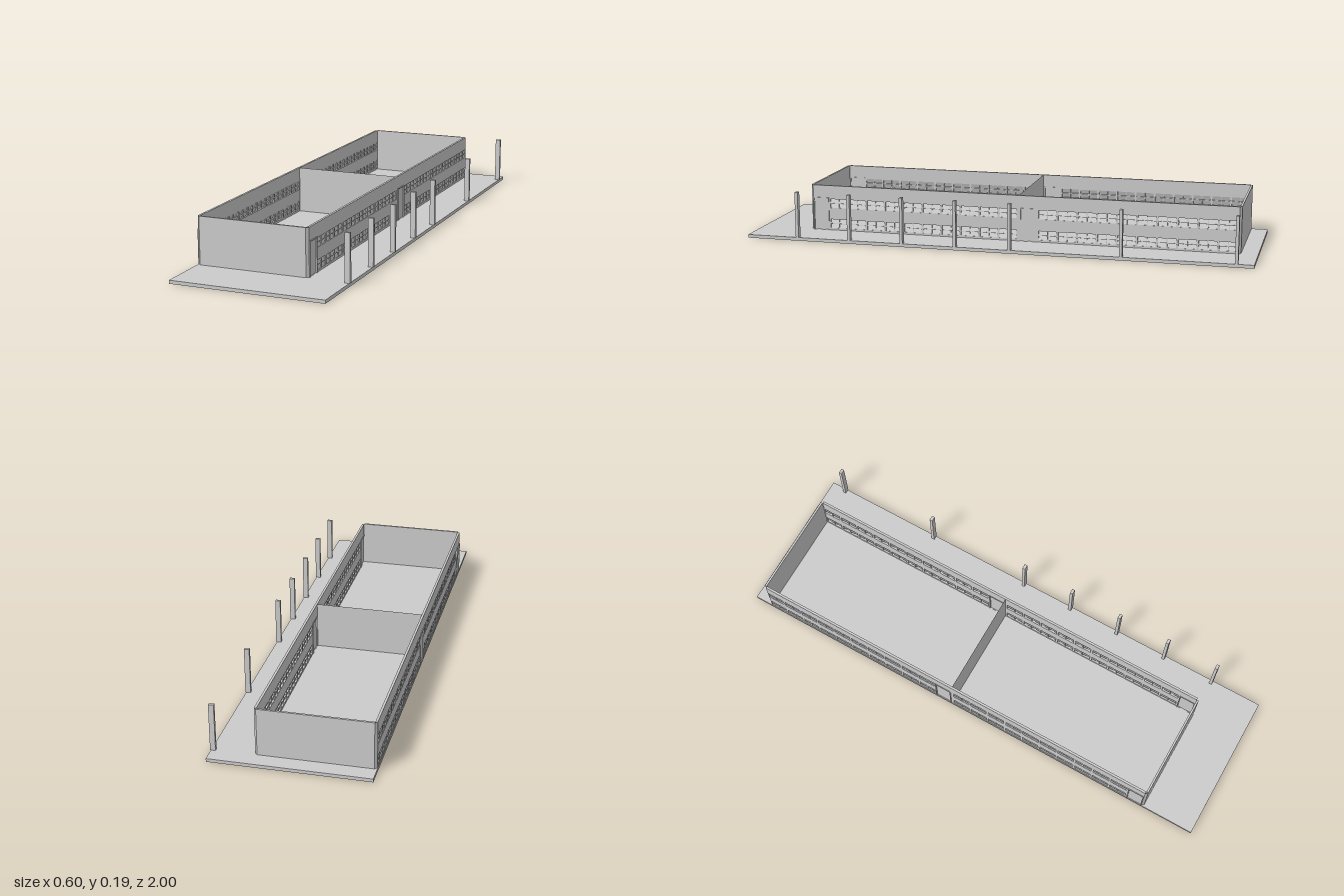
import * as THREE from 'three';

const grey = new THREE.MeshStandardMaterial({ color: 0xcccccc, flatShading: true });
const thin = new THREE.MeshStandardMaterial({ color: 0xcccccc, flatShading: true, side: THREE.DoubleSide });

const FLOOR = 0.013, TOP = 0.195, DOOR_TOP = 0.145;
const XC = -0.08;              // building centre line
const HALF = 0.219;            // half width to the outer wall face
const THICK = 0.009;
const FRONT = 0.79, BACK = -0.935, CHAMFER = 0.009;
const PITCH = 0.078, COUNT = 10;
const BAYS = [{ start: 0.713, door: [0.715, 0.781] }, { start: -0.147, door: [-0.145, -0.075] }];
const ROWS = [[0.021, 0.057], [0.104, 0.140]];

function box(parent, name, x0, x1, y0, y1, z0, z1) {
  const m = new THREE.Mesh(new THREE.BoxGeometry(x1 - x0, y1 - y0, z1 - z0), grey);
  m.position.set((x0 + x1) / 2, (y0 + y1) / 2, (z0 + z1) / 2);
  m.name = name;
  parent.add(m);
  return m;
}

function rectPoints(a0, a1, b0, b1) {
  return [[a0, b0], [a1, b0], [a1, b1], [a0, b1]].map(p => new THREE.Vector2(...p));
}

// Long wall in local space: outer face at x = HALF
function sideWall() {
  const g = new THREE.Group();
  const z0 = BACK + CHAMFER, z1 = FRONT - CHAMFER;
  const windows = [];
  for (const bay of BAYS)
    for (let i = 0; i < COUNT; i++)
      for (const [y0, y1] of ROWS) {
        const b = bay.start - i * PITCH;
        windows.push({ a: b - PITCH + 0.004, b: b - 0.004, y0, y1 });
      }

  // Shape drawn in (-z, y), then turned to face +x
  const shape = new THREE.Shape(rectPoints(-z1, -z0, FLOOR, TOP));
  for (const w of windows) shape.holes.push(new THREE.Path(rectPoints(-w.b, -w.a, w.y0, w.y1)));
  for (const { door } of BAYS)
    shape.holes.push(new THREE.Path(rectPoints(-door[1] + 0.002, -door[0] - 0.002, FLOOR + 0.001, DOOR_TOP - 0.002)));
  const geo = new THREE.ExtrudeGeometry(shape, { depth: THICK, bevelEnabled: false });
  geo.rotateY(Math.PI / 2);
  geo.translate(HALF - THICK, 0, 0);
  const wall = new THREE.Mesh(geo, grey);
  wall.name = 'pierced wall';
  g.add(wall);

  // Tilted sashes with a mullion and a middle rail
  for (const w of windows) {
    const h = w.y1 - w.y0, mid = (w.a + w.b) / 2, ym = (w.y0 + w.y1) / 2;
    for (let k = 0; k < 2; k++) {
      const pane = new THREE.Mesh(new THREE.PlaneGeometry(w.b - w.a, Math.hypot(h / 2, 0.006)), thin);
      pane.rotation.set(0, Math.PI / 2, 0);
      pane.rotateX(-Math.atan2(0.006, h / 2));
      pane.position.set(HALF - THICK / 2, w.y0 + h * (0.25 + 0.5 * k), mid);
      pane.name = 'tilted pane';
      g.add(pane);
    }
    box(g, 'mullion', HALF - THICK + 0.001, HALF - 0.001, w.y0, w.y1, mid - 0.0012, mid + 0.0012);
    box(g, 'middle rail', HALF - THICK + 0.001, HALF - 0.001, ym - 0.001, ym + 0.001, w.a, w.b);
  }

  // Doors with a frame standing slightly proud of the wall
  for (const { door: [a, b] } of BAYS) {
    const xi = HALF - THICK - 0.002, xo = HALF + 0.003, t = 0.004;
    box(g, 'door jamb', xi, xo, FLOOR, DOOR_TOP, a, a + t);
    box(g, 'door jamb', xi, xo, FLOOR, DOOR_TOP, b - t, b);
    box(g, 'door head', xi, xo, DOOR_TOP - t, DOOR_TOP, a + t, b - t);
    box(g, 'door leaf', HALF - 0.006, HALF - 0.002, FLOOR, DOOR_TOP - t, a + t, b - t);
  }
  return g;
}

// Upright panel with its outer side facing along angle
function panel(parent, name, x, z, width, angle, material) {
  const m = new THREE.Mesh(new THREE.PlaneGeometry(width, TOP - FLOOR), material);
  m.position.set(x, (TOP + FLOOR) / 2, z);
  m.rotation.y = angle;
  m.name = name;
  parent.add(m);
}

export function createModel() {
  const model = new THREE.Group();
  model.name = 'building shell';
  box(model, 'ground slab', -0.30, 0.297, 0, FLOOR, -1, 1);

  // Matching long walls
  const left = sideWall();
  left.name = 'left wall';
  left.position.x = XC;
  model.add(left);
  const right = sideWall();
  right.name = 'right wall';
  right.scale.x = -1;
  right.position.x = XC;
  model.add(right);

  // End walls and the partition between the two halls
  const inner = HALF - CHAMFER;
  box(model, 'front wall', XC - inner, XC + inner, FLOOR, TOP, FRONT - 0.008, FRONT);
  box(model, 'back wall', XC - inner, XC + inner, FLOOR, TOP, BACK, BACK + 0.008);
  panel(model, 'partition', XC, -0.071, 2 * inner, 0, thin);

  // Chamfered corner strips
  for (const sx of [-1, 1])
    for (const sz of [-1, 1])
      panel(model, 'corner strip', XC + sx * (HALF - CHAMFER / 2),
        (sz > 0 ? FRONT : BACK) - sz * CHAMFER / 2, CHAMFER * Math.SQRT2, Math.atan2(sx, sz), grey);

  // Free-standing columns along the open edge
  for (const z of [0.79, 0.575, 0.36, 0.145, -0.072, -0.503, -0.935])
    box(model, 'column', 0.28, 0.30, FLOOR, TOP, z - 0.006, z + 0.006);
  return model;
}
